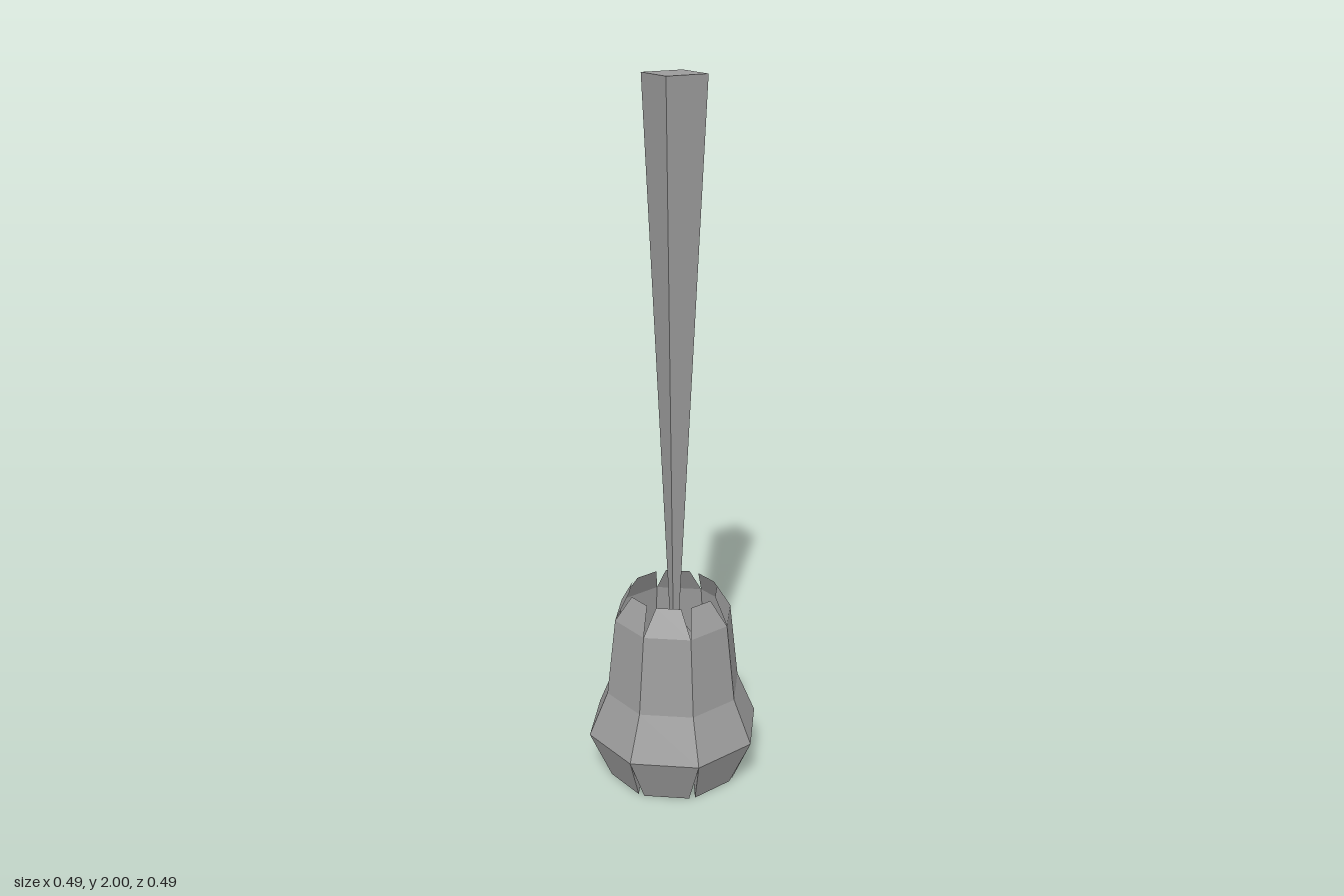
import * as THREE from 'three';

const SIDES = 8;
const STEP = (Math.PI * 2) / SIDES;
const START = THREE.MathUtils.degToRad(14.8);

const material = new THREE.MeshStandardMaterial({
  color: 0x9c9c9c, flatShading: true, side: THREE.DoubleSide,
});

// Point at corner k of an octagonal ring
function corner(k, radius, y) {
  const a = START + k * STEP;
  return new THREE.Vector3(Math.cos(a) * radius, y, Math.sin(a) * radius);
}

// Point on facet k: distance out from the axis, sideways offset, height
function onFacet(k, out, side, y) {
  const a = START + (k + 0.5) * STEP;
  return new THREE.Vector3(
    Math.cos(a) * out - Math.sin(a) * side, y,
    Math.sin(a) * out + Math.cos(a) * side);
}

// Collects triangles and quads into one flat-shaded mesh
function facetMesh(name, build) {
  const points = [];
  const tri = (a, b, c) => points.push(a, b, c);
  const quad = (a, b, c, d) => { tri(a, b, c); tri(a, c, d); };
  for (let k = 0; k < SIDES; k++) build(k, tri, quad);
  const geometry = new THREE.BufferGeometry().setFromPoints(points);
  geometry.computeVertexNormals();
  const mesh = new THREE.Mesh(geometry, material);
  mesh.name = name;
  return mesh;
}

export function createModel() {
  const group = new THREE.Group();
  group.name = 'bellOnHandle';

  // Eight-sided bell wall: [radius, height]
  const rings = [[0.253, 0.14], [0.198, 0.27], [0.172, 0.5]];
  group.add(facetMesh('bellWall', (k, tri, quad) => {
    for (let i = 0; i < rings.length - 1; i++) {
      const [r0, y0] = rings[i], [r1, y1] = rings[i + 1];
      quad(corner(k, r0, y0), corner(k, r1, y1), corner(k + 1, r1, y1), corner(k + 1, r0, y0));
    }
  }));

  // Flaps leaning inward around the open top
  group.add(facetMesh('topFlaps', (k, tri, quad) => {
    quad(corner(k, 0.172, 0.5), onFacet(k, 0.122, -0.035, 0.575),
      onFacet(k, 0.122, 0.035, 0.575), corner(k + 1, 0.172, 0.5));
  }));

  // Flaps tapering down to the ground; the first has one corner cut back
  const foot = (k, s) => onFacet(k, 0.18, k === 0 && s < 0 ? -0.04 : s * 0.065, 0);
  group.add(facetMesh('bottomFlaps', (k, tri, quad) => {
    quad(foot(k, -1), corner(k, 0.253, 0.14), corner(k + 1, 0.253, 0.14), foot(k, 1));
  }));

  // Steep inner cone rising from the flap ends, with folds between its panels
  const peak = new THREE.Vector3(0, 0.51, 0);
  const tip = (k) => onFacet(k, 0.034, 0, 0.42);
  group.add(facetMesh('innerCone', (k, tri) => {
    tri(foot(k, -1), tip(k), foot(k, 1));
    tri(corner(k, 0.253, 0.14), peak, tip(k));
    tri(corner(k, 0.253, 0.14), tip(k), foot(k, -1));
    tri(corner(k + 1, 0.253, 0.14), tip(k), peak);
    tri(corner(k + 1, 0.253, 0.14), foot(k, 1), tip(k));
  }));

  // Square handle, narrowing toward the bell
  const handleGeometry = new THREE.CylinderGeometry(
    0.0615 * Math.SQRT2, 0.01 * Math.SQRT2, 1.5, 4, 1);
  handleGeometry.rotateY(Math.PI / 4);
  const handle = new THREE.Mesh(handleGeometry, material);
  handle.name = 'handle';
  handle.position.set(0.004, 1.25, -0.001);
  group.add(handle);

  return group;
}
